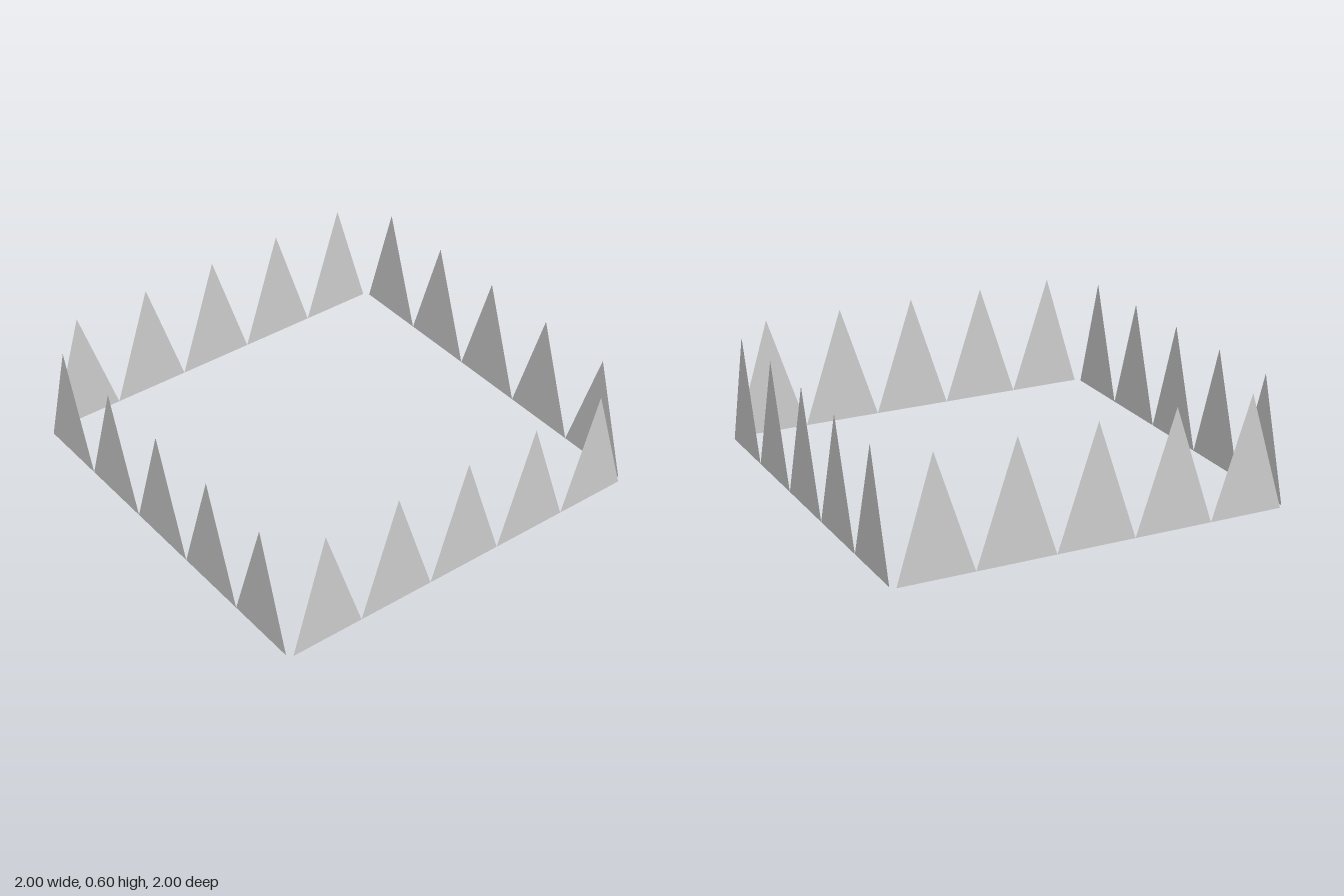
import * as THREE from 'three';

const COUNT = 5;      // spikes per side
const PITCH = 0.399;  // distance between spike tips
const HEIGHT = 0.597;
const END = 0.977;    // outer base corners are pulled in from the frame corners

// One flat row of spikes standing on y = 0, centred on x = 0
function spikeRowGeometry() {
  const shapes = [];
  for (let i = 0; i < COUNT; i++) {
    const tip = (i - (COUNT - 1) / 2) * PITCH;
    const left = Math.max(tip - PITCH / 2, -END);
    const right = Math.min(tip + PITCH / 2, END);
    shapes.push(new THREE.Shape([
      new THREE.Vector2(left, 0),
      new THREE.Vector2(right, 0),
      new THREE.Vector2(tip, HEIGHT),
    ]));
  }
  return new THREE.ShapeGeometry(shapes);
}

export function createModel() {
  const model = new THREE.Group();
  model.name = 'spikeFence';
  const material = new THREE.MeshStandardMaterial({
    color: 0xcccccc, side: THREE.DoubleSide, flatShading: true,
  });
  const geometry = spikeRowGeometry();

  // Four rows turned around the square, each facing outwards
  ['front', 'left', 'back', 'right'].forEach((side, i) => {
    const row = new THREE.Mesh(geometry, material);
    const angle = i * Math.PI / 2;
    row.name = side + 'SpikeRow';
    row.rotation.y = angle;
    row.position.set(Math.sin(angle), 0, Math.cos(angle));
    model.add(row);
  });
  return model;
}
